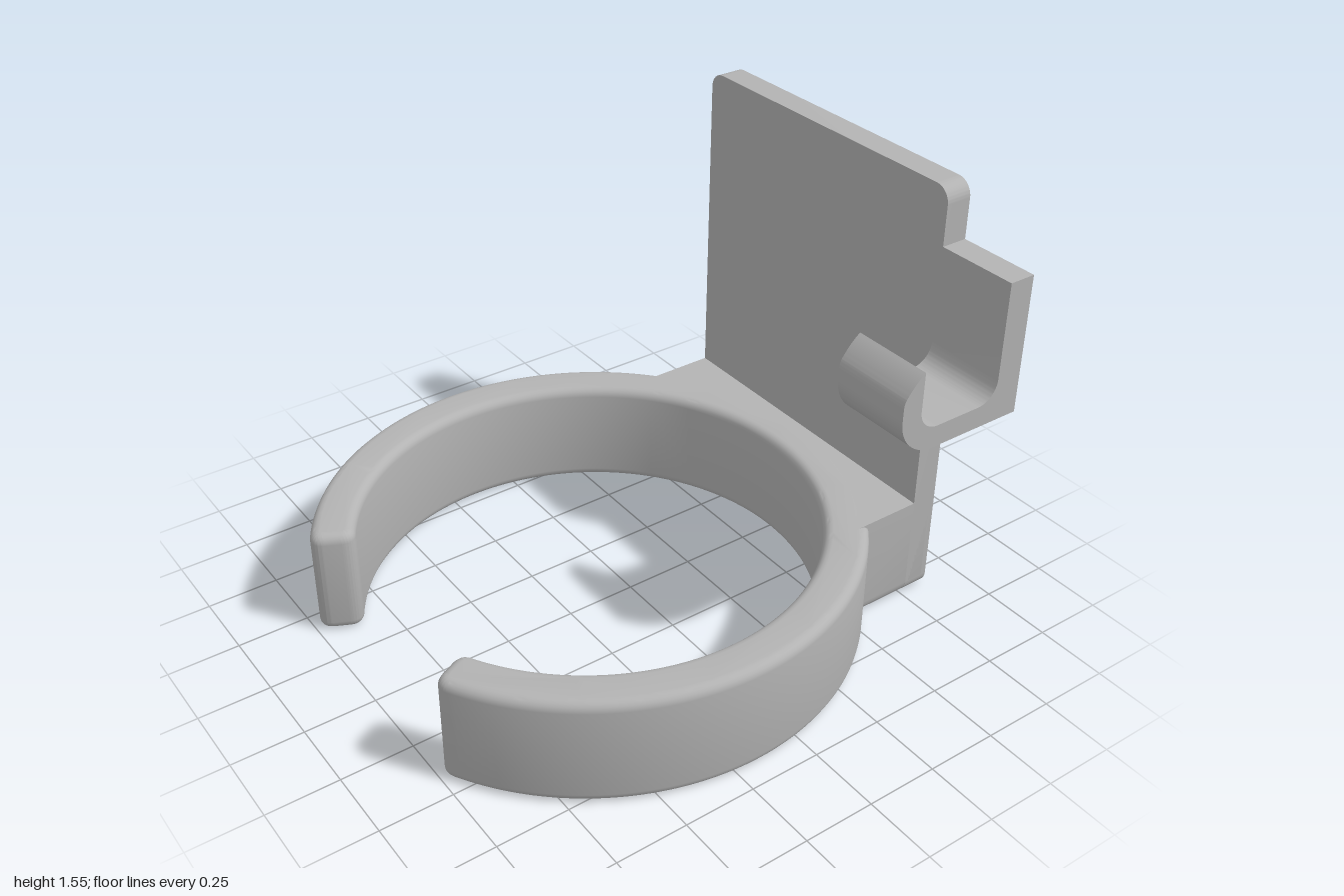
import * as THREE from 'three';
import { toCreasedNormals } from 'three/addons/utils/BufferGeometryUtils.js';

const grey = new THREE.MeshStandardMaterial({ color: 0xb3b3b3 });
grey.name = 'grey plastic';

const RING_Z = 0.165, R_OUT = 0.925, R_IN = 0.775, RING_H = 0.39;
const HALF_W = 0.58, BACK = -0.85, PLATE_FRONT = -0.757, CORNER = 0.055;

function part(name, geometry) {
  const mesh = new THREE.Mesh(toCreasedNormals(geometry, 0.6), grey);
  mesh.name = name;
  return mesh;
}

// Extrudes a (z, y) side profile along x, from x0 to x1
function sideExtrude(shape, x0, x1) {
  const g = new THREE.ExtrudeGeometry(shape, { depth: x1 - x0, bevelEnabled: false, curveSegments: 12 });
  return g.rotateY(-Math.PI / 2).translate(x1, 0, 0);
}

// Open clamp ring with rounded edges and rounded ends
function ringGeometry() {
  const gap = THREE.MathUtils.degToRad(26.2), c = 0.05, r = 0.033;
  const a0 = -Math.PI / 2 + gap, a1 = Math.PI * 1.5 - gap;
  const at = (radius, a) => [radius * Math.cos(a), radius * Math.sin(a)];
  const s = new THREE.Shape();
  s.moveTo(...at(R_OUT, a0 + c / R_OUT));
  s.absarc(0, 0, R_OUT, a0 + c / R_OUT, a1 - c / R_OUT, false);
  s.quadraticCurveTo(...at(R_OUT, a1), ...at(R_OUT - c, a1));
  s.lineTo(...at(R_IN + c, a1));
  s.quadraticCurveTo(...at(R_IN, a1), ...at(R_IN, a1 - c / R_IN));
  s.absarc(0, 0, R_IN, a1 - c / R_IN, a0 + c / R_IN, true);
  s.quadraticCurveTo(...at(R_IN, a0), ...at(R_IN + c, a0));
  s.lineTo(...at(R_OUT - c, a0));
  s.quadraticCurveTo(...at(R_OUT, a0), ...at(R_OUT, a0 + c / R_OUT));
  const g = new THREE.ExtrudeGeometry(s, {
    depth: RING_H - 2 * r, curveSegments: 96,
    bevelThickness: r, bevelSize: r, bevelOffset: -r, bevelSegments: 5,
  });
  return g.rotateX(-Math.PI / 2).translate(0, r, RING_Z);
}

// Block joining ring and plate: front follows the ring, lower side edges are rounded
function blockGeometry() {
  const rows = 6;
  const g = new THREE.BoxGeometry(2, 1, 1, 24, rows, 1);
  const p = g.attributes.position;
  for (let i = 0; i < p.count; i++) {
    const k = Math.round((p.getY(i) + 0.5) * rows);
    const a = Math.min(k / (rows - 1), 1) * Math.PI / 2;
    const y = k === rows ? RING_H : CORNER * (1 - Math.cos(a));
    const x = p.getX(i) * (HALF_W - CORNER + CORNER * Math.sin(a));
    const front = RING_Z - Math.sqrt(0.86 ** 2 - x * x);
    p.setXYZ(i, x, y, p.getZ(i) > 0 ? front : BACK + 0.02);
  }
  return g;
}

// Upright plate with rounded corners
function plateGeometry() {
  const w = HALF_W, h = 1.55, r = CORNER, s = new THREE.Shape();
  s.moveTo(-w + r, 0);
  s.lineTo(w - r, 0);
  s.absarc(w - r, r, r, -Math.PI / 2, 0, false);
  s.lineTo(w, h - r);
  s.absarc(w - r, h - r, r, 0, Math.PI / 2, false);
  s.lineTo(-w + r, h);
  s.absarc(-w + r, h - r, r, Math.PI / 2, Math.PI, false);
  s.lineTo(-w, r);
  s.absarc(-w + r, r, r, Math.PI, Math.PI * 1.5, false);
  const g = new THREE.ExtrudeGeometry(s, { depth: PLATE_FRONT - BACK, bevelEnabled: false, curveSegments: 8 });
  return g.translate(0, 0, BACK);
}

// Side tab that curls forward into a hook
function hookGeometry() {
  const s = new THREE.Shape();
  s.moveTo(BACK, 0.875);
  s.lineTo(-0.505, 0.875);
  s.absarc(-0.505, 1.015, 0.14, -Math.PI / 2, 0, false);
  s.lineTo(-0.365, 1.06);
  s.quadraticCurveTo(-0.365, 1.08, -0.378, 1.097);
  s.quadraticCurveTo(-0.405, 1.135, -0.44, 1.16);
  s.lineTo(-0.44, 1.025);
  s.absarc(-0.515, 1.025, 0.075, 0, -Math.PI / 2, true);
  s.lineTo(PLATE_FRONT + 0.075, 0.95);
  s.absarc(PLATE_FRONT + 0.075, 1.025, 0.075, -Math.PI / 2, -Math.PI, true);
  s.lineTo(PLATE_FRONT, 1.355);
  s.lineTo(BACK, 1.355);
  return sideExtrude(s, HALF_W, 0.865);
}

// Small downward-turned peg on the back
function pegGeometry(x) {
  const s = new THREE.Shape([
    [BACK, 1.355], [-1, 1.355], [-1, 1.16], [-0.942, 1.16], [-0.942, 1.265], [BACK, 1.265],
  ].map(([z, y]) => new THREE.Vector2(z, y)));
  return sideExtrude(s, x - 0.045, x + 0.045);
}

export function createModel() {
  const group = new THREE.Group();
  group.name = 'ringHolder';
  group.add(
    part('clampRing', ringGeometry()),
    part('joiningBlock', blockGeometry()),
    part('backPlate', plateGeometry()),
    part('sideHook', hookGeometry()),
    part('leftPeg', pegGeometry(0.385)),
    part('rightPeg', pegGeometry(-0.385)),
  );
  return group;
}
